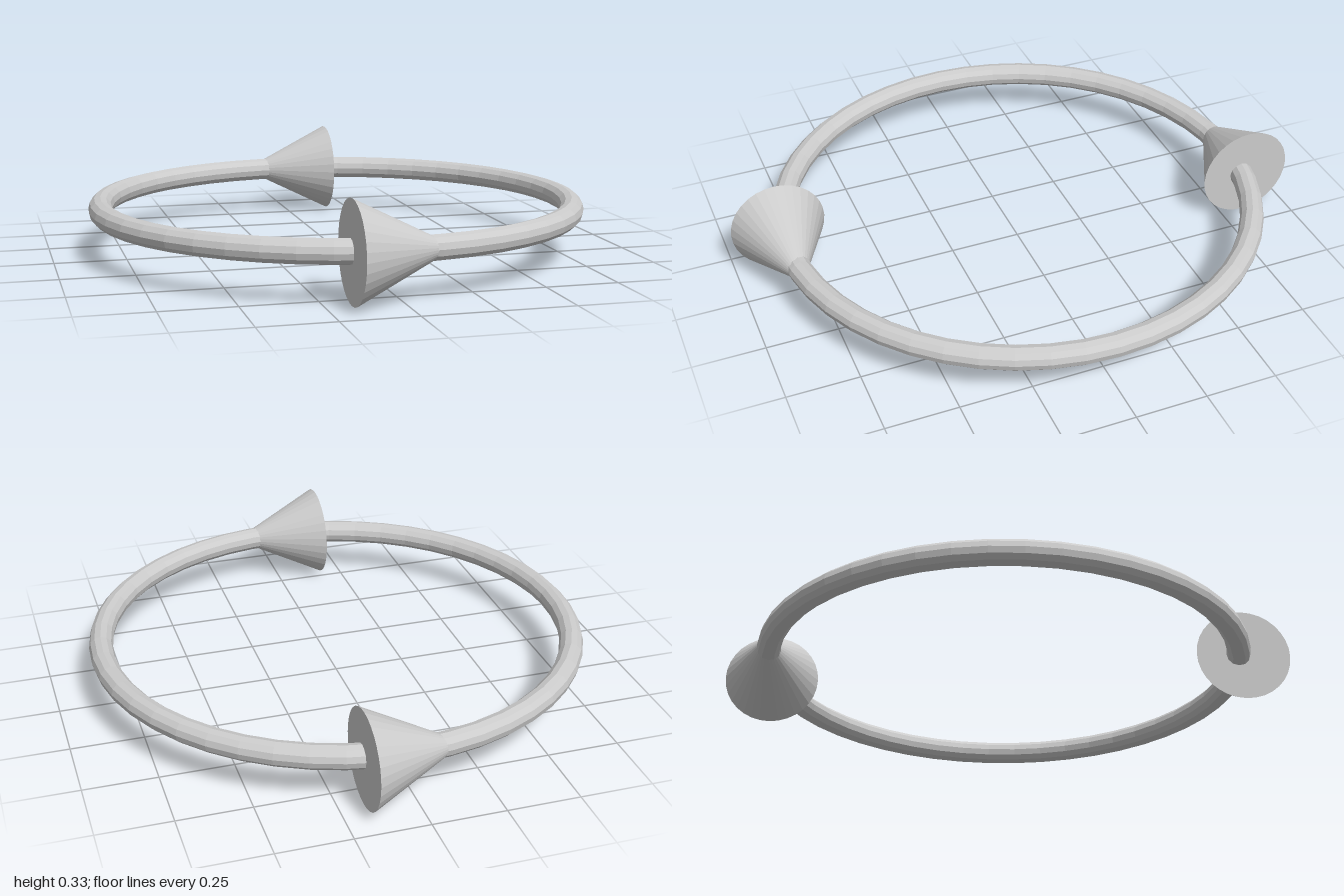
import * as THREE from 'three';

export function createModel() {
  const group = new THREE.Group();
  const material = new THREE.MeshStandardMaterial({ color: 0xcccccc, flatShading: true });
  const ringRadius = 0.8333, tubeRadius = 0.0417;
  const coneRadius = 0.1667, coneHeight = 0.3333;

  // Ring lying flat at the height of the cone axes
  const ring = new THREE.Mesh(
    new THREE.TorusGeometry(ringRadius, tubeRadius, 12, 48).rotateX(Math.PI / 2), material);
  ring.name = 'ring';
  ring.position.y = coneRadius;
  group.add(ring);

  // Arrowheads on opposite sides, both pointing the same way round the ring
  const coneGeometry = new THREE.ConeGeometry(coneRadius, coneHeight, 32);
  for (const [name, side] of [['frontArrowhead', 1], ['backArrowhead', -1]]) {
    const cone = new THREE.Mesh(coneGeometry, material);
    cone.name = name;
    cone.position.set(0, coneRadius, side * ringRadius);
    cone.rotation.z = -side * Math.PI / 2;
    group.add(cone);
  }
  return group;
}
